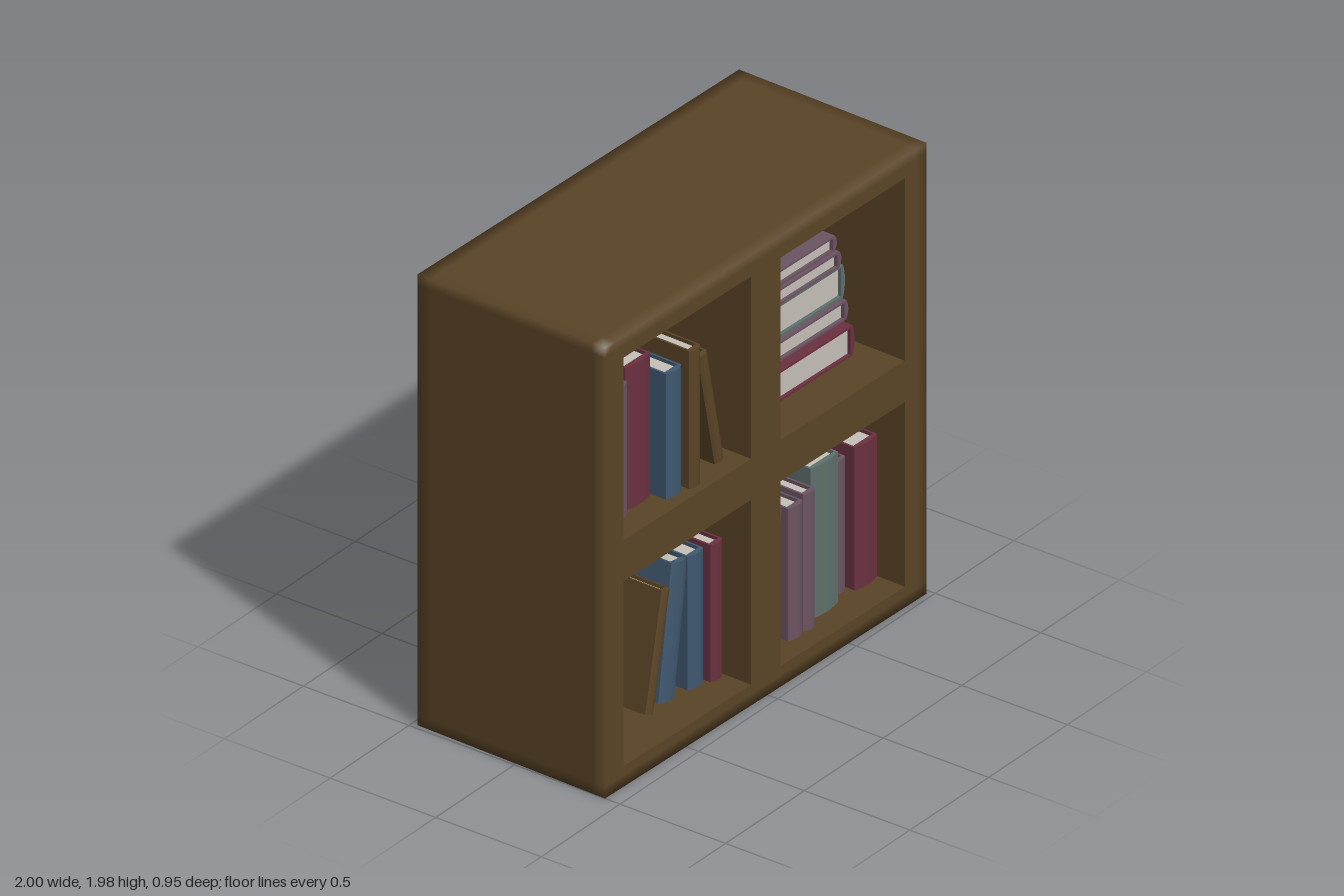
import * as THREE from 'three';

const colours = {
  wood: 0x5a4426, maroon: 0x6b3040, mauve: 0x6b5462,
  blue: 0x405870, slate: 0x5f706c, pages: 0xc6c1b8,
};
const mats = {};
for (const [name, color] of Object.entries(colours)) {
  mats[name] = new THREE.MeshStandardMaterial({ color });
  mats[name].name = name;
}

// Grid lines of the cabinet; cells 2 and 4 are the openings
const X = [-0.99, -0.93, -0.875, -0.09, 0.09, 0.857, 0.93, 0.99];
const Y = [0, 0.05, 0.09, 0.90, 1.08, 1.88, 1.93, 1.975];
const Z = [-0.4525, -0.39, 0.39, 0.4525];
const FRONT = Z[3];
const DEPTH = 0.42; // compartment depth

function mesh(name, geometry, material) {
  const m = new THREE.Mesh(geometry, material);
  m.name = name;
  return m;
}

// Outer shell with softly shaded edges and four openings in the front
function shellGeometry() {
  const g = new THREE.BoxGeometry(7, 7, 3, 7, 7, 3);
  const p = g.attributes.position, n = g.attributes.normal;
  const cells = [];
  const edge = (i, last) => (i === 0 ? -1 : i === last ? 1 : 0);
  for (let v = 0; v < p.count; v++) {
    const i = Math.round(p.getX(v) + 3.5);
    const j = Math.round(p.getY(v) + 3.5);
    const k = Math.round(p.getZ(v) + 1.5);
    cells.push([i, j, k]);
    p.setXYZ(v, X[i], Y[j], Z[k]);
    const d = new THREE.Vector3(edge(i, 7), edge(j, 7), edge(k, 3)).normalize();
    n.setXYZ(v, d.x, d.y, d.z);
  }
  const index = Array.from(g.index.array), kept = [];
  for (let t = 0; t < index.length; t += 3) {
    const c = index.slice(t, t + 3).map((v) => cells[v]);
    const low = (a) => Math.min(c[0][a], c[1][a], c[2][a]);
    const open = low(2) === 3 && [2, 4].includes(low(0)) && [2, 4].includes(low(1));
    if (!open) kept.push(...index.slice(t, t + 3));
  }
  g.setIndex(kept);
  g.clearGroups();
  return g;
}

// Inward-facing box without a front
function compartmentGeometry(x0, x1, y0, y1) {
  const g = new THREE.BoxGeometry(x1 - x0, y1 - y0, DEPTH);
  const index = Array.from(g.index.array);
  index.splice(24, 6);
  g.setIndex(index.reverse());
  g.clearGroups();
  const n = g.attributes.normal.array;
  for (let i = 0; i < n.length; i++) n[i] *= -1;
  return g.translate((x0 + x1) / 2, (y0 + y1) / 2, FRONT - DEPTH / 2);
}

// Upright book: spine towards +z at z = 0, standing on y = 0
function book(colour, w, h, d) {
  const t = Math.min(0.009, w * 0.14), r = w / 2;
  const s = new THREE.Shape();
  s.moveTo(-r, d);
  s.lineTo(-r, 0.012);
  s.quadraticCurveTo(0, -0.012, r, 0.012);
  s.lineTo(r, d);
  s.lineTo(r - t, d);
  s.lineTo(r - t, 0.025);
  s.lineTo(t - r, 0.025);
  s.lineTo(t - r, d);
  const cover = new THREE.ExtrudeGeometry(s, { depth: h, bevelEnabled: false, curveSegments: 6 });
  cover.rotateX(-Math.PI / 2);
  const pages = new THREE.BoxGeometry(w - 2 * t, h - 0.03, d - 0.04);
  pages.translate(0, h / 2, -0.025 - (d - 0.04) / 2);
  const g = new THREE.Group();
  g.name = 'book';
  g.add(mesh('bookCover', cover, mats[colour]), mesh('bookPages', pages, mats.pages));
  return g;
}

// Standing books: colour, x at foot, width, height, setback, lean
const upperRow = [
  ['mauve', -0.765, 0.09, 0.58, 0.10, 0],
  ['maroon', -0.63, 0.155, 0.625, 0.12, 0],
  ['blue', -0.497, 0.095, 0.55, 0.05, 0],
  ['wood', -0.393, 0.068, 0.605, 0.03, 0],
  ['wood', -0.192, 0.055, 0.525, 0.07, 0.2],
];
const lowerRow = [
  ['maroon', -0.815, 0.06, 0.575, 0.17, 0],
  ['wood', -0.73, 0.07, 0.6, 0.155, 0],
  ['wood', -0.52, 0.05, 0.51, 0.15, -0.2],
  ['blue', -0.402, 0.1, 0.585, 0.16, -0.14],
  ['blue', -0.236, 0.095, 0.585, 0.15, 0],
  ['maroon', -0.145, 0.073, 0.6, 0.12, 0],
  ['mauve', 0.143, 0.09, 0.59, 0.11, -0.1],
  ['mauve', 0.29, 0.088, 0.58, 0.08, 0],
  ['mauve', 0.374, 0.07, 0.6, 0.08, 0],
  ['slate', 0.514, 0.168, 0.66, 0.115, 0],
  ['mauve', 0.652, 0.093, 0.58, 0.16, 0],
  ['maroon', 0.775, 0.138, 0.625, 0.12, 0],
];
// Lying books: colour, left x, right x, bottom y, top y, setback
const stack = [
  ['maroon', 0.15, 0.77, 1.08, 1.215, 0.18],
  ['mauve', 0.215, 0.77, 1.228, 1.315, 0.21],
  ['slate', 0.13, 0.775, 1.315, 1.46, 0.23],
  ['mauve', 0.21, 0.74, 1.465, 1.538, 0.22],
  ['mauve', 0.185, 0.725, 1.54, 1.61, 0.23],
];

export function createModel() {
  const model = new THREE.Group();
  model.name = 'bookcase';
  const tilted = new THREE.Group();
  tilted.name = 'cabinet';
  tilted.rotation.y = -0.0235;
  model.add(tilted);

  tilted.add(mesh('cabinetShell', shellGeometry(), mats.wood));
  for (const i of [2, 4]) for (const j of [2, 4]) {
    tilted.add(mesh('compartment', compartmentGeometry(X[i], X[i + 1], Y[j], Y[j + 1]), mats.wood));
  }

  for (const [row, floor] of [[upperRow, Y[4]], [lowerRow, Y[2]]]) {
    for (const [colour, x, w, h, back, lean] of row) {
      const b = book(colour, w, h, DEPTH - back - 0.005);
      // raise leaning books so their lowest corner rests on the shelf
      b.position.set(x + 0.008, floor + 0.002 + Math.abs(Math.sin(lean)) * w / 2, FRONT - back);
      b.rotation.z = lean;
      tilted.add(b);
    }
  }

  // Stack lies with spines to +x and page heads to the front
  const lying = new THREE.Matrix4().makeBasis(
    new THREE.Vector3(0, 1, 0), new THREE.Vector3(0, 0, 1), new THREE.Vector3(1, 0, 0));
  for (const [colour, x0, x1, y0, y1, back] of stack) {
    const b = book(colour, y1 - y0 - 0.002, DEPTH - back - 0.005, x1 - x0);
    b.quaternion.setFromRotationMatrix(lying);
    b.position.set(x1 + 0.006, (y0 + y1) / 2 + 0.001, FRONT - DEPTH + 0.005);
    tilted.add(b);
  }
  return model;
}
